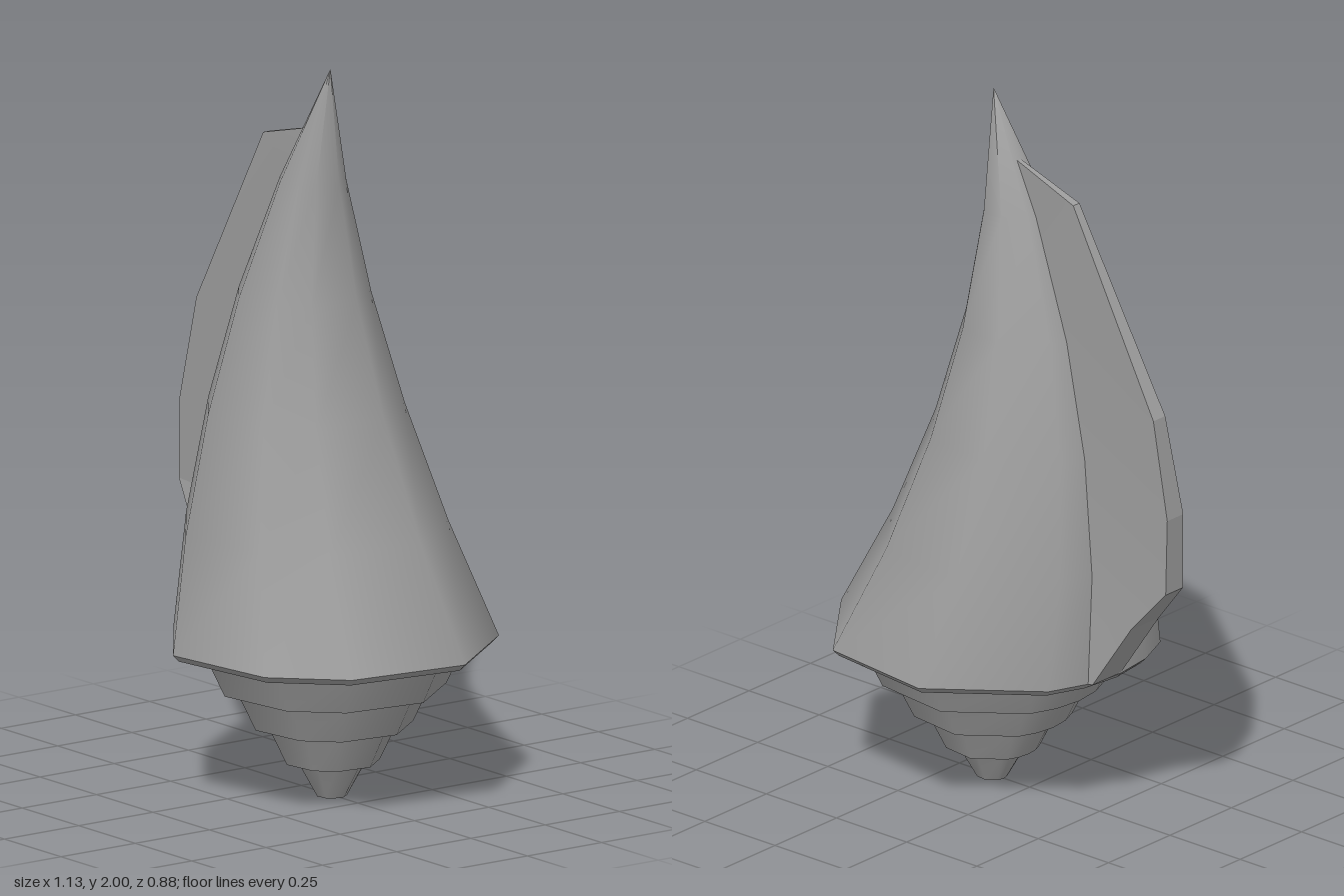
import * as THREE from 'three';
import { toCreasedNormals } from 'three/addons/utils/BufferGeometryUtils.js';

// Angles (degrees) of the uneven polygon shared by whorl and spire
const ANGLES = [-15, 30, 60, 105, 150, 165, 180, 195, 210, 255, 300]
  .map(THREE.MathUtils.degToRad);
const AXIS = 0.128;

// Bent cone: [height, centre x]; the radius shrinks linearly to the tip
const SPINE = [[0.425, AXIS], [0.73, 0.049], [1.05, 0.007], [1.36, 0.005], [1.68, 0.046], [2, AXIS]];
const coneRadius = (y) => 0.455 * (2 - y) / 1.575 + 0.0005;

function spineX(y) {
  let i = 0;
  while (i < SPINE.length - 2 && y > SPINE[i + 1][0]) i++;
  const [y0, x0] = SPINE[i], [y1, x1] = SPINE[i + 1];
  return x0 + (x1 - x0) * (y - y0) / (y1 - y0);
}

function ringPoint(y, cx, r, a) {
  return [cx + r * Math.cos(a), y, r * Math.sin(a)];
}

const ring = (y, cx, r) => ANGLES.map((a) => ringPoint(y, cx, r, a));

// Skin a list of equal point loops, bottom to top, with both ends capped
function skin(loops) {
  const n = loops[0].length, index = [];
  for (let i = 0; i < loops.length - 1; i++) {
    for (let j = 0; j < n; j++) {
      const a = i * n + j, b = i * n + (j + 1) % n;
      index.push(a, a + n, b, b, a + n, b + n);
    }
  }
  const top = (loops.length - 1) * n;
  for (let j = 1; j < n - 1; j++) {
    index.push(0, j, j + 1, top, top + j + 1, top + j);
  }
  const g = new THREE.BufferGeometry();
  g.setAttribute('position', new THREE.Float32BufferAttribute(loops.flat(2), 3));
  g.setIndex(index);
  return g;
}

// Edges sharper than the crease angle stay hard
function addMesh(group, name, loops, crease) {
  const material = new THREE.MeshStandardMaterial({ color: 0x9d9d9d, side: THREE.DoubleSide });
  const mesh = new THREE.Mesh(toCreasedNormals(skin(loops), crease), material);
  mesh.name = name;
  group.add(mesh);
}

export function createModel() {
  const group = new THREE.Group();
  group.name = 'seashell';

  // Main whorl: the curved cone and the thin rim beneath it
  addMesh(group, 'bodyWhorl', SPINE.map(([y, x]) => ring(y, x, coneRadius(y))), 1.2);
  addMesh(group, 'whorlRim', [ring(0.407, AXIS, 0.438), ring(0.425, AXIS, coneRadius(0.425))], 0.85);

  // Stepped spire: [height, radius]
  const steps = [[0, 0.042], [0.095, 0.095], [0.095, 0.13], [0.198, 0.18], [0.198, 0.22],
    [0.3, 0.27], [0.3, 0.31], [0.41, 0.363]];
  addMesh(group, 'spire', steps.map(([y, r]) => ring(y, AXIS + 0.006, r)), 0.9);

  // Flared lip: [root height, outer x, outer y, outer front z, outer back z]
  const lip = [
    [0.425, -0.325, 0.425, 0, -0.115],
    [0.6, -0.44, 0.61, 0.024, -0.09],
    [0.73, -0.555, 0.74, -0.01, -0.08],
    [1.05, -0.565, 0.96, -0.02, -0.085],
    [1.36, -0.52, 1.24, -0.042, -0.09],
    [1.68, -0.195, 1.762, -0.02, -0.045],
    [1.815, 0.035, 1.822, 0, -0.014],
  ];
  // The root follows two neighbouring edges of the whorl
  const loops = lip.map(([ry, x, y, zf, zb]) => {
    const root = (deg) => ringPoint(ry, spineX(ry), coneRadius(ry), THREE.MathUtils.degToRad(deg));
    return [root(180), [x, y, zf], [x, y, zb], root(195)];
  });
  addMesh(group, 'flaredLip', loops, 0.15);

  return group;
}
